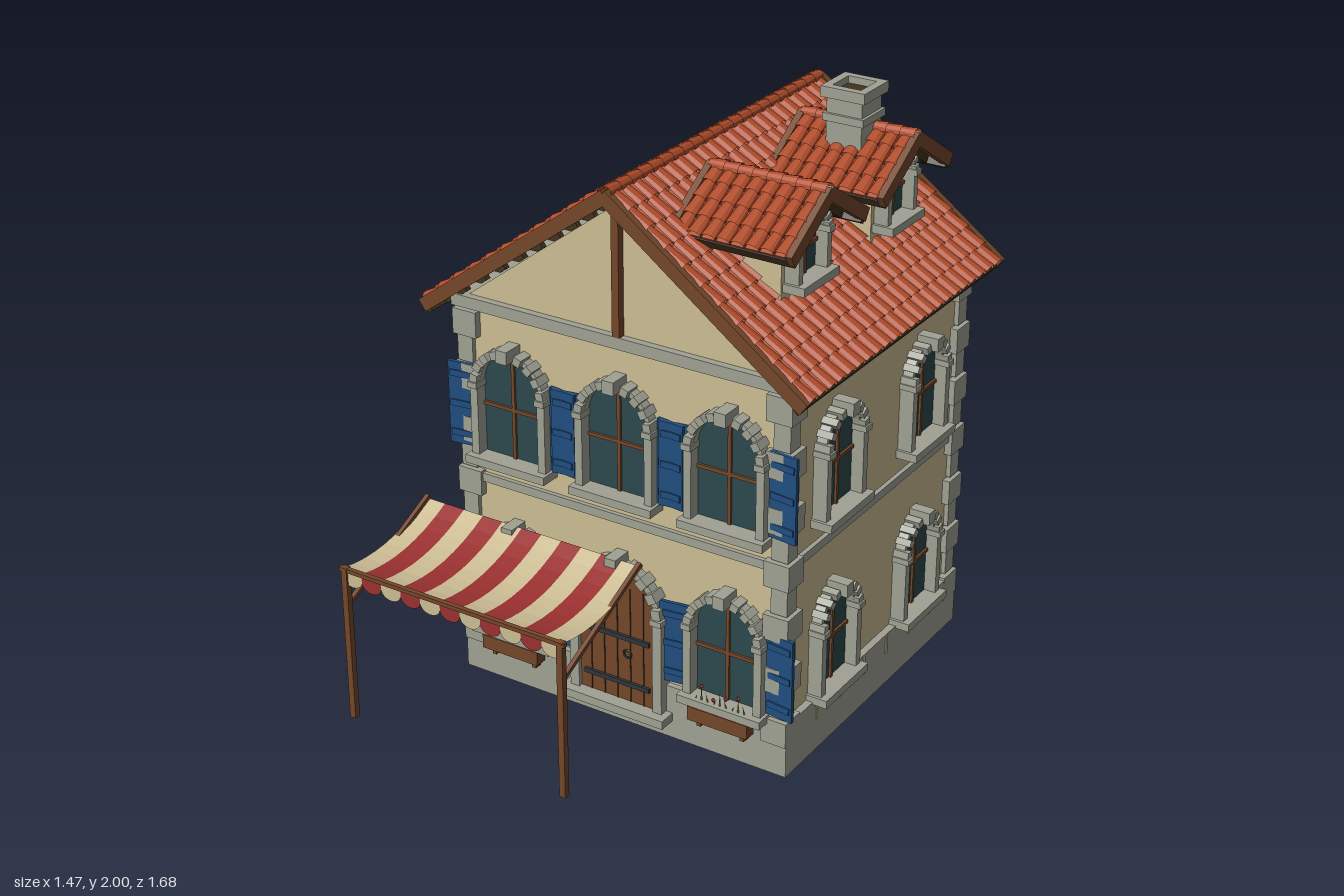
import * as THREE from 'three';
import { mergeGeometries } from 'three/addons/utils/BufferGeometryUtils.js';

const mat = (name, color, side = THREE.FrontSide) => {
  const m = new THREE.MeshStandardMaterial({ color, side, flatShading: true });
  m.name = name;
  return m;
};

export function createModel() {
  const cream = mat('cream plaster', 0xccbd94, THREE.DoubleSide), stone = mat('grey stone', 0xa0a294);
  const wood = mat('brown wood', 0x74472a), dark = mat('dark wood', 0x40321f);
  const tile = mat('clay tile', 0xb04c2a, THREE.DoubleSide), glass = mat('teal glass', 0x2c484c);
  const blue = mat('blue paint', 0x204e80), red = mat('red cloth', 0x9a3030, THREE.DoubleSide);
  const iron = mat('dark iron', 0x30363a), green = mat('leaf green', 0x6f7a48);

  const model = new THREE.Group();
  model.name = 'house';
  const add = (parent, name, geo, m, x = 0, y = 0, z = 0) => {
    const mesh = new THREE.Mesh(geo, m);
    mesh.name = name;
    mesh.position.set(x, y, z);
    parent.add(mesh);
    return mesh;
  };
  const box = (p, name, m, w, h, d, x, y, z) => add(p, name, new THREE.BoxGeometry(w, h, d), m, x, y, z);
  const group = (p, name, x = 0, y = 0, z = 0, ry = 0) => {
    const g = new THREE.Group();
    g.name = name;
    g.position.set(x, y, z);
    g.rotation.y = ry;
    p.add(g);
    return g;
  };
  const extrude = (shape, depth) => new THREE.ExtrudeGeometry(shape, { depth, bevelEnabled: false, curveSegments: 10 });
  const poly = pts => new THREE.Shape(pts.map(([x, y]) => new THREE.Vector2(x, y)));
  const CX = 0.03, CZ = -0.195, HW = 0.595, HD = 0.555;

  // Walls, plinth, bands
  box(model, 'plinth', stone, 1.24, 0.19, 1.15, CX, 0.095, CZ);
  box(model, 'walls', cream, HW * 2, 1.17, HD * 2, CX, 0.775, CZ);
  box(model, 'floorBand', stone, 1.22, 0.03, 1.14, CX, 0.737, CZ);
  box(model, 'topBand', stone, 1.25, 0.04, 1.16, CX, 1.35, CZ);
  add(model, 'gable', extrude(poly([[-0.57, 0], [0.57, 0], [0, 0.43]]), HD * 2), cream, CX, 1.37, CZ - HD);
  for (const s of [-1, 1]) {
    box(model, 'kingPost', wood, 0.026, 0.45, 0.03, CX, 1.595, CZ + s * (HD + 0.012));
    for (let i = 0; i < 6; i++)
      box(model, 'plinthJoint', cream, 0.006, 0.07, 0.012, CX + s * 0.62, 0.152, CZ + 0.385 - i * 0.154);
  }
  for (let i = 0; i < 7; i++) box(model, 'plinthJoint', cream, 0.012, 0.07, 0.006, CX - 0.46 + i * 0.154, 0.152, CZ - 0.575);

  // Corner quoins alternating in size
  for (const sx of [-1, 1]) for (const sz of [-1, 1]) for (let i = 0; i < 13; i++) {
    const big = i % 2 === 0, w = big ? 0.09 : 0.058, o = big ? 0.026 : 0.016;
    box(model, 'quoin', stone, w, 0.088, w, CX + sx * (HW + o - w / 2), 0.155 + i * 0.0935, CZ + sz * (HD + o - w / 2));
  }

  // Arched opening with its stone surround; r = half width, h = height of the arch spring
  const arch = (r, h) => {
    const s = new THREE.Shape();
    s.moveTo(-r, 0);
    s.lineTo(r, 0);
    s.lineTo(r, h);
    s.absarc(0, h, r, 0, Math.PI, false);
    s.lineTo(-r, 0);
    return s;
  };
  const surround = (g, r, h, t) => {
    const frame = arch(r + t * 0.6, h);
    frame.holes.push(arch(r, h));
    add(g, 'archRing', extrude(frame, 0.035), stone);
    for (const s of [-1, 1]) {
      box(g, 'jamb', stone, t, h, 0.05, s * (r + t / 2), h / 2, 0.025);
      box(g, 'jambCap', stone, t * 1.3, 0.02, 0.06, s * (r + t / 2), h, 0.03);
    }
    for (let i = 0; i < 9; i++) {
      const a = Math.PI * (i + 0.5) / 9, key = i === 4, R = r + t * (key ? 0.7 : 0.5);
      const v = box(g, key ? 'keystone' : 'archStone', stone, t * (key ? 1.6 : 1), key ? 0.042 : r * 0.24,
        key ? 0.075 : 0.055, R * Math.cos(a), h + R * Math.sin(a), key ? 0.037 : 0.027);
      v.rotation.z = a;
    }
  };
  const win = (p, r, h, t, x, y, z, ry) => {
    const g = group(p, 'window', x, y, z, ry);
    add(g, 'pane', extrude(arch(r, h), 0.008), glass);
    box(g, 'mullion', wood, 0.012, h + r, 0.012, 0, (h + r) / 2, 0.01);
    box(g, 'crossBar', wood, r * 2, 0.012, 0.012, 0, h * 0.7, 0.01);
    surround(g, r, h, t);
    box(g, 'sill', stone, 2 * (r + t) + 0.02, 0.028, 0.075, 0, -0.014, 0.037);
    return g;
  };
  const shutter = (g, x, ry) => {
    const s = group(g, 'shutter', x, 0.005, 0.02, ry);
    box(s, 'shutterBoard', blue, 0.1, 0.29, 0.012, 0, 0.145, 0);
    for (const y of [0.04, 0.145, 0.25]) box(s, 'shutterRail', blue, 0.085, 0.022, 0.022, 0, y, 0);
  };

  // Flower box under a window
  const flowerBox = g => {
    box(g, 'flowerBox', wood, 0.22, 0.05, 0.045, 0, -0.052, 0.055);
    for (const s of [-1, 1]) box(g, 'boxBracket', wood, 0.015, 0.03, 0.03, s * 0.08, -0.09, 0.04);
    for (let i = 0; i < 9; i++) {
      const x = -0.09 + i * 0.0225, h = 0.045 + 0.018 * ((i * 5) % 3);
      const stem = add(g, 'stem', new THREE.ConeGeometry(0.006, h, 4), green, x, -0.03 + h / 2, 0.058);
      stem.rotation.z = 0.25 * ((i % 3) - 1);
      if (i % 2) add(g, 'blossom', new THREE.OctahedronGeometry(0.009), red, x, -0.03 + h, 0.06);
    }
  };

  // Windows on all four sides, shutters only in front
  for (const y of [0.21, 0.84]) {
    for (const dx of [-0.4, 0, 0.4]) {
      win(model, 0.115, 0.245, 0.028, CX + dx, y, CZ - HD, Math.PI);
      if (y < 0.5 && dx === 0) continue;
      const w = win(model, 0.115, 0.245, 0.028, CX + dx, y, CZ + HD, 0);
      for (const s of [-1, 1]) shutter(w, s * 0.194, s * -0.12);
      if (y < 0.5) flowerBox(w);
    }
    for (const z of [0.08, -0.47]) for (const s of [-1, 1])
      win(model, 0.098, 0.225, 0.028, CX + s * HW, y, z, s * Math.PI / 2);
  }

  // Front door
  const door = group(model, 'door', CX, 0.09, CZ + HD);
  add(door, 'doorLeaf', extrude(arch(0.142, 0.34), 0.035), wood);
  surround(door, 0.142, 0.34, 0.034);
  for (let i = -2; i <= 2; i++) box(door, 'plankJoint', dark, 0.004, 0.42, 0.004, i * 0.05, 0.21, 0.036);
  for (const y of [0.07, 0.24]) box(door, 'hinge', iron, 0.25, 0.016, 0.01, 0, y, 0.04);
  add(door, 'doorRing', new THREE.TorusGeometry(0.014, 0.004, 5, 12), iron, 0.045, 0.185, 0.045);
  box(door, 'doorStep', stone, 0.4, 0.03, 0.09, 0, -0.012, 0.038);

  // Tiled gable roof: ridge along local z, eaves at +-half
  const gableRoof = (name, half, drop, len, rows, cols, x, y, z, ry) => {
    const roof = group(model, name, x, y, z, ry);
    const L = Math.hypot(half, drop), a = Math.atan2(drop, half), dl = L / rows, dw = (len - 0.03) / cols;
    const one = new THREE.CylinderGeometry(dw * 0.42, dw * 0.54, dl * 1.15, 6, 1, true, 0, Math.PI);
    one.rotateZ(Math.PI / 2).scale(1, 0.8, 1).rotateZ(0.1);
    const tiles = [];
    for (let i = 0; i < rows; i++) for (let j = 0; j < cols; j++)
      tiles.push(one.clone().translate((i + 0.5) * dl, 0.006, (j + 0.5 - cols / 2) * dw));
    const tileGeo = mergeGeometries(tiles);
    for (const turn of [0, Math.PI]) {
      const side = group(group(roof, 'roofSide', 0, 0, 0, turn), 'roofSlope');
      side.rotation.z = -a;
      box(side, 'roofDeck', tile, L, 0.012, len - 0.02, L / 2, 0, 0);
      add(side, 'roofTiles', tileGeo, tile);
      for (const s of [-1, 1]) box(side, 'bargeBoard', wood, L + 0.015, 0.045, 0.024, L / 2, 0, s * (len / 2 - 0.012));
      box(side, 'eaveBoard', dark, 0.02, 0.03, len - 0.01, L - 0.005, -0.016, 0);
      const n = Math.round(len / 0.11);
      for (let k = 0; k < n; k++) box(side, 'rafterEnd', dark, 0.1, 0.026, 0.022, L - 0.075, -0.02, ((k + 0.5) / n - 0.5) * (len - 0.06));
    }
    const caps = [];
    for (let j = 0; j < cols; j++) {
      const c = new THREE.CylinderGeometry(0.02, 0.026, dw * 1.15, 6, 1, true, -Math.PI / 2, Math.PI);
      caps.push(c.rotateX(-Math.PI / 2).translate(0, 0.008, (j + 0.5 - cols / 2) * dw));
    }
    add(roof, 'ridgeTiles', mergeGeometries(caps), tile);
  };
  gableRoof('mainRoof', 0.685, 0.505, 1.285, 11, 22, CX, 1.843, CZ, 0);

  // Dormers
  for (const z of [0.075, -0.475]) {
    gableRoof('dormerRoof', 0.215, 0.135, 0.43, 4, 8, 0.377, 1.85, z, Math.PI / 2);
    const body = group(model, 'dormer', 0.18, 0, z, Math.PI / 2);
    add(body, 'dormerWall', extrude(poly([[-0.115, 1.45], [0.115, 1.45], [0.115, 1.755], [0, 1.83], [-0.115, 1.755]]), 0.31), cream);
    win(body, 0.072, 0.125, 0.024, 0, 1.58, 0.31, 0);
  }

  // Chimney
  const chimney = group(model, 'chimney', 0.372, 0, -0.443);
  box(chimney, 'chimneyShaft', stone, 0.125, 0.47, 0.125, 0, 1.735, 0);
  box(chimney, 'chimneyCollar', stone, 0.145, 0.025, 0.145, 0, 1.9, 0);
  const rim = poly([[-0.078, -0.078], [0.078, -0.078], [0.078, 0.078], [-0.078, 0.078]]);
  rim.holes.push(poly([[-0.05, -0.05], [-0.05, 0.05], [0.05, 0.05], [0.05, -0.05]]));
  add(chimney, 'chimneyRim', extrude(rim, 0.035).rotateX(-Math.PI / 2), stone, 0, 1.965, 0);
  box(chimney, 'flue', dark, 0.1, 0.01, 0.1, 0, 1.972, 0);

  // Striped awning with sagging cloth and scalloped valance
  const awning = group(model, 'awning');
  const X0 = -0.72, W = 0.85 / 11;
  for (let i = 0; i < 11; i++) {
    const m = i % 2 ? red : cream, cloth = new THREE.PlaneGeometry(W, 1, 1, 8), p = cloth.attributes.position;
    for (let k = 0; k < p.count; k++) {
      const t = 0.5 - p.getY(k);
      p.setXYZ(k, p.getX(k), 0.61 - 0.055 * t - 0.16 * t * (1 - t), 0.4 + 0.435 * t);
    }
    cloth.computeVertexNormals();
    add(awning, 'clothStripe', cloth, m, X0 + (i + 0.5) * W);
    const flap = new THREE.Shape();
    flap.moveTo(W / 2, 0);
    flap.lineTo(-W / 2, 0);
    flap.lineTo(-W / 2, -0.03);
    flap.absellipse(0, -0.03, W / 2, 0.03, Math.PI, Math.PI * 2, false);
    add(awning, 'valance', new THREE.ShapeGeometry(flap, 8), m, X0 + (i + 0.5) * W, 0.555, 0.838);
  }
  box(awning, 'frontBar', wood, 0.87, 0.014, 0.016, -0.295, 0.552, 0.835);
  for (const x of [-0.71, 0.122]) {
    box(awning, 'post', wood, 0.022, 0.56, 0.022, x, 0.28, 0.834);
    const strut = box(awning, 'strut', wood, 0.015, 0.015, 0.48, x, 0.52, 0.62);
    strut.rotation.x = Math.atan2(0.18, 0.39);
  }
  return model;
}
